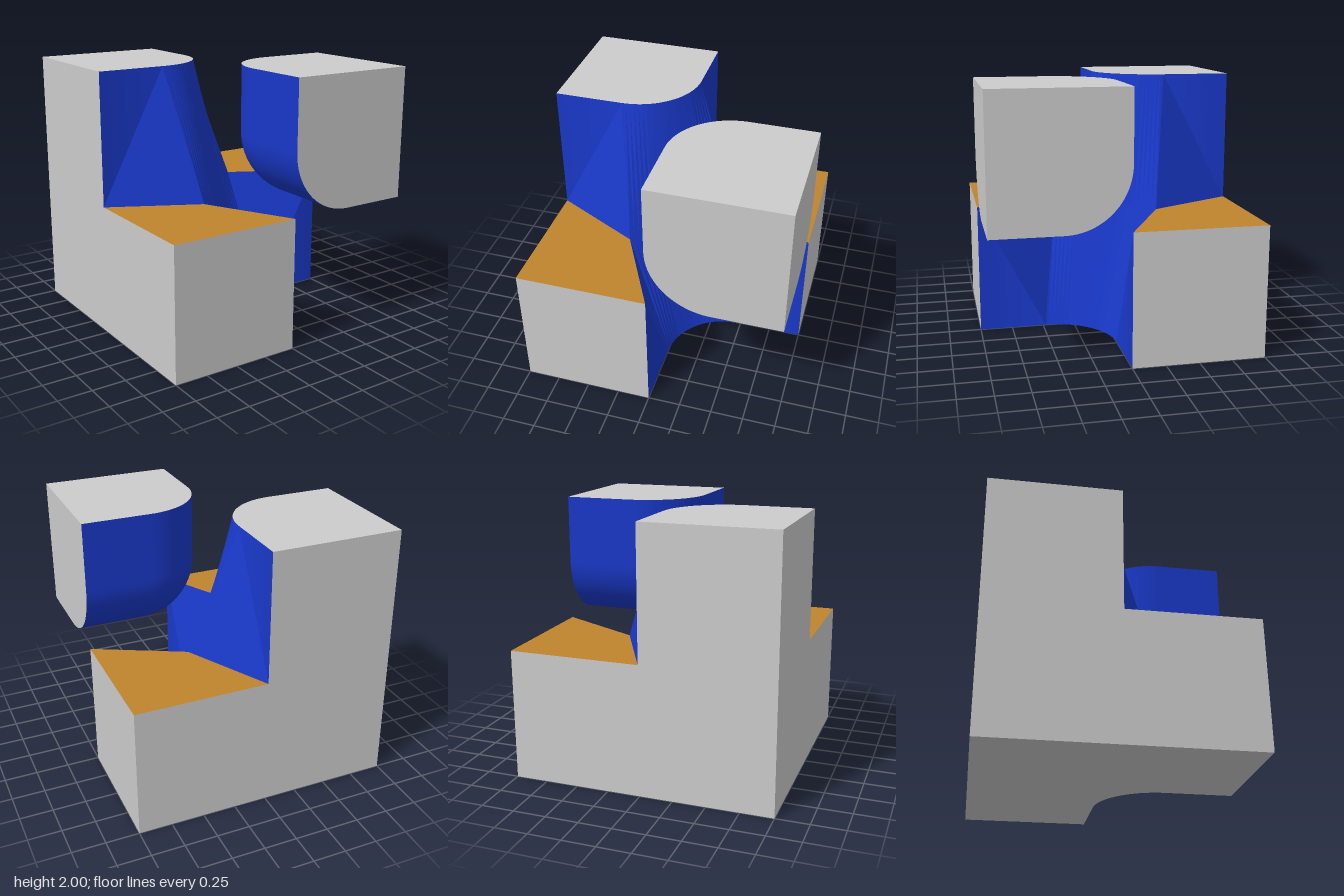
import * as THREE from 'three';
import { toCreasedNormals } from 'three/addons/utils/BufferGeometryUtils.js';

const R = 0.48;   // fillet radius
const K = 0.34;   // reach of the saddle corners at mid height
const N = 24;     // steps along each arc

const paint = (color) => new THREE.MeshStandardMaterial({ color, side: THREE.DoubleSide });

// Quarter arc from (0, R) to (R, 0) about the centre (R, R)
const arc = Array.from({ length: N + 1 }, (_, i) => {
  const a = (i / N) * Math.PI / 2;
  return [R - R * Math.cos(a), R - R * Math.sin(a)];
});

// Flat polygon lying across one axis ('x', 'y' or 'z') at a value, facing side +1 or -1
function flatFace(axis, value, side, outline) {
  const pts2 = outline.map(([a, b]) => new THREE.Vector2(a, b));
  const place = { x: (p) => [value, p.y, p.x], y: (p) => [p.x, value, p.y], z: (p) => [p.x, p.y, value] }[axis];
  const normal = [0, 0, 0];
  normal['xyz'.indexOf(axis)] = side;
  const clockwise = THREE.ShapeUtils.isClockWise(pts2);
  if (clockwise) pts2.reverse();
  // A counter-clockwise outline faces +z, but -x and -y in the other two layouts
  const flip = (axis === 'z' ? 1 : -1) !== side;
  const index = THREE.ShapeUtils.triangulateShape(pts2, []).flatMap(([a, b, c]) => (flip ? [a, c, b] : [a, b, c]));
  const geo = new THREE.BufferGeometry();
  geo.setAttribute('position', new THREE.Float32BufferAttribute(pts2.flatMap(place), 3));
  geo.setAttribute('normal', new THREE.Float32BufferAttribute(pts2.flatMap(() => normal), 3));
  geo.setIndex(index);
  return geo;
}

// Ruled wall between two paths of [x, z] points at two heights
function ruledWall(low, yLow, high, yHigh, diagonalFromLow) {
  const n = low.length;
  const pos = [...low.map(([x, z]) => [x, yLow, z]), ...high.map(([x, z]) => [x, yHigh, z])].flat();
  const index = [];
  for (let i = 0; i < n - 1; i++) {
    const a = i, b = i + 1, c = n + i, d = n + i + 1;
    // The diagonals mirror about the middle of the path
    if ((i < n / 2 - 1) === diagonalFromLow) index.push(a, b, d, a, d, c);
    else index.push(a, b, c, b, d, c);
  }
  const geo = new THREE.BufferGeometry();
  geo.setAttribute('position', new THREE.Float32BufferAttribute(pos, 3));
  geo.setIndex(index);
  return toCreasedNormals(geo, 0.4);
}

// Three inner sides of a unit cube with rounded edges and a ball corner at the origin
function roundedShell() {
  const geo = new THREE.BoxGeometry(1, 1, 1, 25, 25, 25).translate(0.5, 0.5, 0.5);
  const p = geo.attributes.position, v = new THREE.Vector3(), core = new THREE.Vector3();
  for (let i = 0; i < p.count; i++) {
    v.fromBufferAttribute(p, i);
    core.set(Math.max(v.x, R), Math.max(v.y, R), Math.max(v.z, R));
    v.sub(core).normalize();
    geo.attributes.normal.setXYZ(i, v.x, v.y, v.z);
    v.multiplyScalar(R).add(core);
    p.setXYZ(i, v.x, v.y, v.z);
  }
  const all = Array.from(geo.index.array);
  const inner = [1, 3, 5].flatMap((g) => all.slice(geo.groups[g].start, geo.groups[g].start + geo.groups[g].count));
  geo.setIndex(inner);
  geo.clearGroups();
  return geo;
}

export function createModel() {
  const grey = paint(0xcccccc), blue = paint(0x1938c8), ochre = paint(0xbf842e);
  const model = new THREE.Group();
  const addTo = (group, name, geo, mat) => {
    const mesh = new THREE.Mesh(geo, mat);
    mesh.name = name;
    group.add(mesh);
  };

  // Main body: L-shaped base with a column at its back corner
  const body = new THREE.Group();
  body.name = 'body';
  const bottomPath = [[0, 1], ...arc, [1, 0]];
  const topPath = [[-1, 0], ...arc.map(([x, z]) => [-z, -x]), [0, -1]];
  const diagonal = arc.map((_, i) => [K * (2 * i / N - 1), K * (1 - 2 * i / N)]);
  const ell = [[-1, 0], [1, 0], [1, 1], [0, 1], [0, 2], [-1, 2]];
  const square = [[-1, 0], [0, 0], [0, 1], [-1, 1]];

  addTo(body, 'bottom', flatFace('y', 0, -1, [...bottomPath, [1, -1], [-1, -1], [-1, 1]]), grey);
  addTo(body, 'columnTop', flatFace('y', 2, 1, [...topPath, [-1, -1]]), grey);
  addTo(body, 'backSide', flatFace('z', -1, -1, ell), grey);
  addTo(body, 'rightSide', flatFace('x', -1, -1, ell), grey);
  addTo(body, 'frontEnd', flatFace('z', 1, 1, square), grey);
  addTo(body, 'leftEnd', flatFace('x', 1, 1, square), grey);

  // Ledges on both arms of the base
  const ledge = [[-1, 0], [-K, K], [0, 1], [-1, 1]];
  addTo(body, 'frontLedge', flatFace('y', 1, 1, ledge), ochre);
  addTo(body, 'backLedge', flatFace('y', 1, 1, ledge.map(([x, z]) => [-x, -z])), ochre);

  // Saddle walls: hollow below, bulging above, meeting in a straight diagonal
  addTo(body, 'lowerWall', ruledWall(bottomPath, 0, [[0, 1], ...diagonal, [1, 0]], 1, false), blue);
  addTo(body, 'upperWall', ruledWall([[-1, 0], ...diagonal, [0, -1]], 1, topPath, 2, true), blue);
  model.add(body);

  // Separate block with rounded inner sides
  const block = new THREE.Group();
  block.name = 'floatingBlock';
  const roundedSquare = [...arc, [1, 0], [1, 1], [0, 1]];
  for (const [axis, name] of [['x', 'blockLeft'], ['y', 'blockTop'], ['z', 'blockFront']]) {
    addTo(block, name, flatFace(axis, 1, 1, roundedSquare), grey);
  }
  addTo(block, 'blockRoundedShell', roundedShell(), blue);
  block.position.y = 1;
  model.add(block);

  return model;
}
